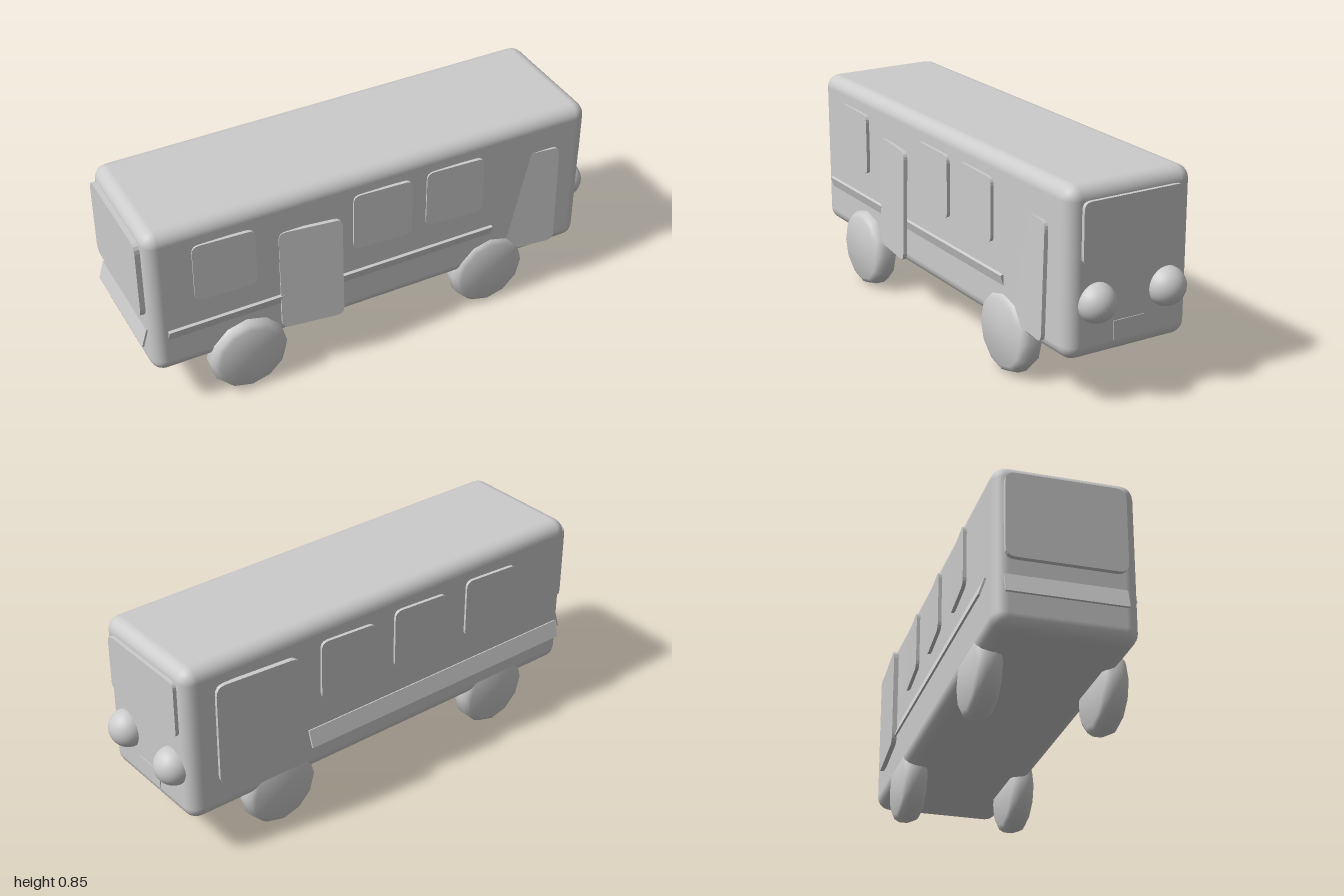
import * as THREE from 'three';
import { RoundedBoxGeometry } from 'three/addons/geometries/RoundedBoxGeometry.js';
import { toCreasedNormals } from 'three/addons/utils/BufferGeometryUtils.js';

const material = new THREE.MeshStandardMaterial({ color: 0xcccccc });

// Thin rounded panel centred on its own origin, facing z.
function panelGeometry(w, h, depth, r) {
  const s = new THREE.Shape();
  const x = w / 2, y = h / 2;
  s.moveTo(-x + r, -y);
  s.lineTo(x - r, -y);
  s.quadraticCurveTo(x, -y, x, -y + r);
  s.lineTo(x, y - r);
  s.quadraticCurveTo(x, y, x - r, y);
  s.lineTo(-x + r, y);
  s.quadraticCurveTo(-x, y, -x, y - r);
  s.lineTo(-x, -y + r);
  s.quadraticCurveTo(-x, -y, -x + r, -y);
  const g = new THREE.ExtrudeGeometry(s, { depth, bevelEnabled: false, curveSegments: 4 });
  return g.translate(0, 0, -depth / 2);
}

export function createModel() {
  const bus = new THREE.Group();
  bus.name = 'bus';

  const add = (name, geometry, position, rotation = [0, 0, 0]) => {
    const mesh = new THREE.Mesh(geometry, material);
    mesh.name = name;
    mesh.position.set(...position);
    mesh.rotation.set(...rotation);
    bus.add(mesh);
    return mesh;
  };

  // Body shell
  add('body', new RoundedBoxGeometry(1.9, 0.66, 0.545, 3, 0.055), [-0.025, 0.52, -0.003]);

  // Wheels with rounded shoulders
  const profile = [[0, -0.05], [0.135, -0.05], [0.152, -0.04], [0.163, -0.018],
    [0.163, 0.018], [0.152, 0.04], [0.135, 0.05], [0, 0.05]].map(p => new THREE.Vector2(...p));
  const wheel = toCreasedNormals(new THREE.LatheGeometry(profile, 12), 0.7);
  wheel.rotateX(Math.PI / 2);
  add('rearRightWheel', wheel, [-0.59, 0.165, 0.258]);
  add('frontRightWheel', wheel, [0.5, 0.165, 0.235]);
  add('rearLeftWheel', wheel, [-0.61, 0.165, -0.225]);
  add('frontLeftWheel', wheel, [0.5, 0.165, -0.225]);

  // Side windows, each set a little askew
  const sideWindow = panelGeometry(0.25, 0.255, 0.014, 0.03);
  for (const x of [-0.67, -0.005, 0.315]) add('sideWindow', sideWindow, [x, 0.633, 0.275], [0, -0.05, 0]);
  for (const x of [-0.535, -0.165, 0.195]) add('sideWindow', sideWindow, [x, 0.633, -0.288], [0, -0.07, 0]);

  // Passenger doors, the front one partly sunk into the body
  const door = panelGeometry(0.255, 0.46, 0.016, 0.03);
  add('middleDoor', door, [-0.318, 0.465, 0.286], [-0.025, -0.13, 0]);
  add('frontDoor', door, [0.668, 0.465, 0.267], [-0.025, -0.11, 0]);

  // Large panel on the far side
  add('sideDoor', panelGeometry(0.36, 0.435, 0.02, 0.04), [0.62, 0.543, -0.292], [0, -0.07, 0]);

  // Trim strips along both sides and across the tail
  add('trimStrip', new THREE.BoxGeometry(1.41, 0.05, 0.012), [-0.205, 0.372, 0.269], [0.3, 0, 0]);
  add('trimStrip', new THREE.BoxGeometry(1.31, 0.072, 0.008), [-0.265, 0.362, -0.302], [0.32, 0, 0]);
  add('rearStrip', new THREE.BoxGeometry(0.008, 0.08, 0.46), [-0.986, 0.353, -0.01], [0, 0, -0.28]);

  // Front and rear glass, number plate
  const quarter = Math.PI / 2;
  add('windshield', panelGeometry(0.435, 0.235, 0.03, 0.03), [0.925, 0.678, -0.003], [0, quarter, 0]);
  add('rearWindow', panelGeometry(0.46, 0.345, 0.03, 0.04), [-0.98, 0.628, -0.008], [0, -quarter, 0]);
  add('plate', new THREE.BoxGeometry(0.02, 0.075, 0.136), [0.918, 0.281, 0.001]);

  // Headlights
  const lamp = new THREE.SphereGeometry(0.077, 32, 20);
  add('headlight', lamp, [0.923, 0.407, 0.147]);
  add('headlight', lamp, [0.923, 0.407, -0.165]);

  return bus;
}
